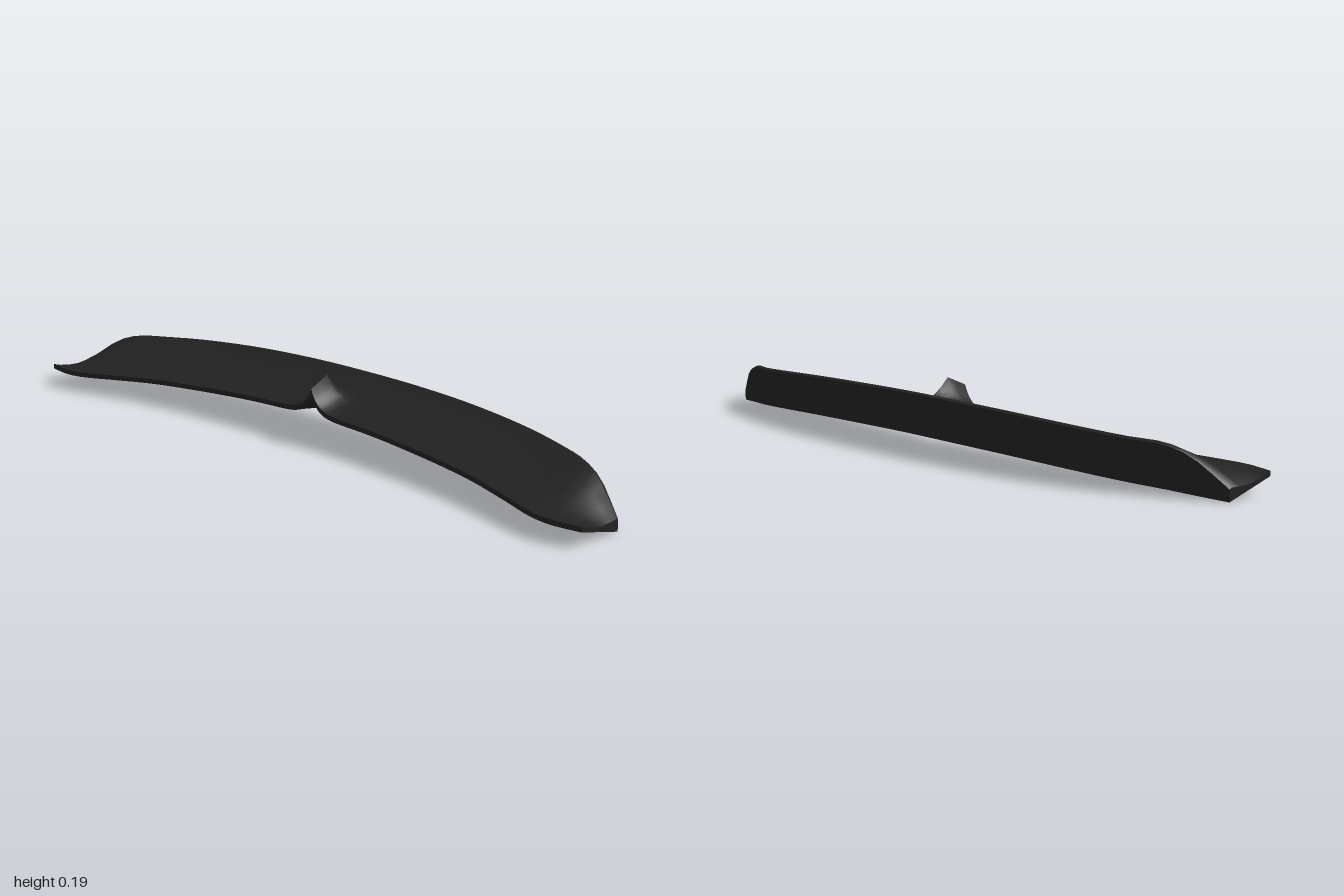
import * as THREE from 'three';
import { toCreasedNormals } from 'three/addons/utils/BufferGeometryUtils.js';

// Outline of one half of the wing, given at these distances from the centre
const KEYS = [0, 0.2, 0.4, 0.6, 0.75, 0.85, 0.92, 1];
const FRONT_Z = [0.05, 0.054, 0.07, 0.1, 0.138, 0.168, 0.175, 0.16];
const REAR_Z = [-0.176, -0.174, -0.163, -0.138, -0.103, -0.065, -0.036, 0.005];
const LIP_Y = [0.1, 0.097, 0.088, 0.078, 0.068, 0.062, 0.06, 0.058];
const RIDGE_Y = [0.172, 0.17, 0.164, 0.153, 0.142, 0.134, 0.106, 0.037];
const BOTTOM_Y = [0.057, 0.055, 0.05, 0.04, 0.029, 0.02, 0.012, 0.001];

// Depth fractions from lip to rear, with the height of the centre fin at each
const DEPTH = [0, 0.05, 0.15, 0.29, 0.42, 0.55, 0.75, 0.95, 1];
const FIN_TOP = [0.065, 0.068, 0.073, 0.079, 0.042, 0.006, 0, 0, 0];
const FIN_UNDER = [0.062, 0.062, 0.058, 0.045, 0.02, 0, 0, 0, 0];

// Smooth interpolation through the keys, flat at the centre
function sample(values, x) {
  let i = 0;
  while (i < KEYS.length - 2 && x > KEYS[i + 1]) i++;
  const slope = (k) => {
    if (k === 0) return 0;
    const b = Math.min(k + 1, KEYS.length - 1);
    return (values[b] - values[k - 1]) / (KEYS[b] - KEYS[k - 1]);
  };
  const h = KEYS[i + 1] - KEYS[i];
  const t = (x - KEYS[i]) / h;
  const t2 = t * t, t3 = t2 * t;
  return (2 * t3 - 3 * t2 + 1) * values[i] + (t3 - 2 * t2 + t) * h * slope(i)
    + (3 * t2 - 2 * t3) * values[i + 1] + (t3 - t2) * h * slope(i + 1);
}

// Closed cross-section: upper skin from lip to rear, then underside back to lip
function section(x) {
  const ax = Math.abs(x);
  const front = sample(FRONT_Z, ax), rear = sample(REAR_Z, ax);
  const lip = sample(LIP_Y, ax), ridge = sample(RIDGE_Y, ax), bottom = sample(BOTTOM_Y, ax);
  const fin = Math.exp(-ax / 0.03) * Math.max(0, 1 - ax / 0.16);
  const top = [], under = [];
  DEPTH.forEach((t, i) => {
    const z = front + (rear - front) * t;
    const u = Math.min(t / 0.95, 1);
    const dish = 0.01 * Math.sin(Math.PI * u);
    const round = t === 1 ? 0.004 : 0;
    top.push([x, lip + (ridge - lip) * u - dish - round + FIN_TOP[i] * fin, z]);
    under.push([x, lip - 0.014 + (bottom - lip + 0.014) * t + FIN_UNDER[i] * fin, z]);
  });
  return [...top, ...under.reverse()];
}

// Loft the sections across the width and close both tips
function wingGeometry() {
  const half = [0.008, 0.018, 0.03, 0.045, 0.065, 0.09, 0.125, 0.16];
  for (let i = 1; i <= 24; i++) half.push(0.16 + 0.84 * i / 24);
  const stations = [...half.map((x) => -x).reverse(), 0, ...half];
  const n = DEPTH.length * 2;
  const positions = stations.flatMap((x) => section(x).flat());
  const index = [];
  const quad = (a, b, c, d) => index.push(a, b, c, a, c, d);
  for (let s = 0; s < stations.length - 1; s++) {
    for (let j = 0; j < n; j++) {
      const k = (j + 1) % n;
      quad(s * n + j, (s + 1) * n + j, (s + 1) * n + k, s * n + k);
    }
  }
  const last = (stations.length - 1) * n;
  for (let i = 0; i < DEPTH.length - 1; i++) {
    const t0 = i, t1 = i + 1, b0 = n - 1 - i, b1 = n - 2 - i;
    quad(last + t0, last + b0, last + b1, last + t1);
    quad(t0, t1, b1, b0);
  }
  const geometry = new THREE.BufferGeometry();
  geometry.setAttribute('position', new THREE.Float32BufferAttribute(positions, 3));
  geometry.setIndex(index);
  return toCreasedNormals(geometry, 0.7);
}

export function createModel() {
  const group = new THREE.Group();
  group.name = 'spoiler';
  const black = new THREE.MeshStandardMaterial({ color: 0x222222 });
  black.name = 'satin black';

  // Curved wing with the pinched centre fin
  const wing = new THREE.Mesh(wingGeometry(), black);
  wing.name = 'spoilerWing';
  group.add(wing);
  return group;
}
